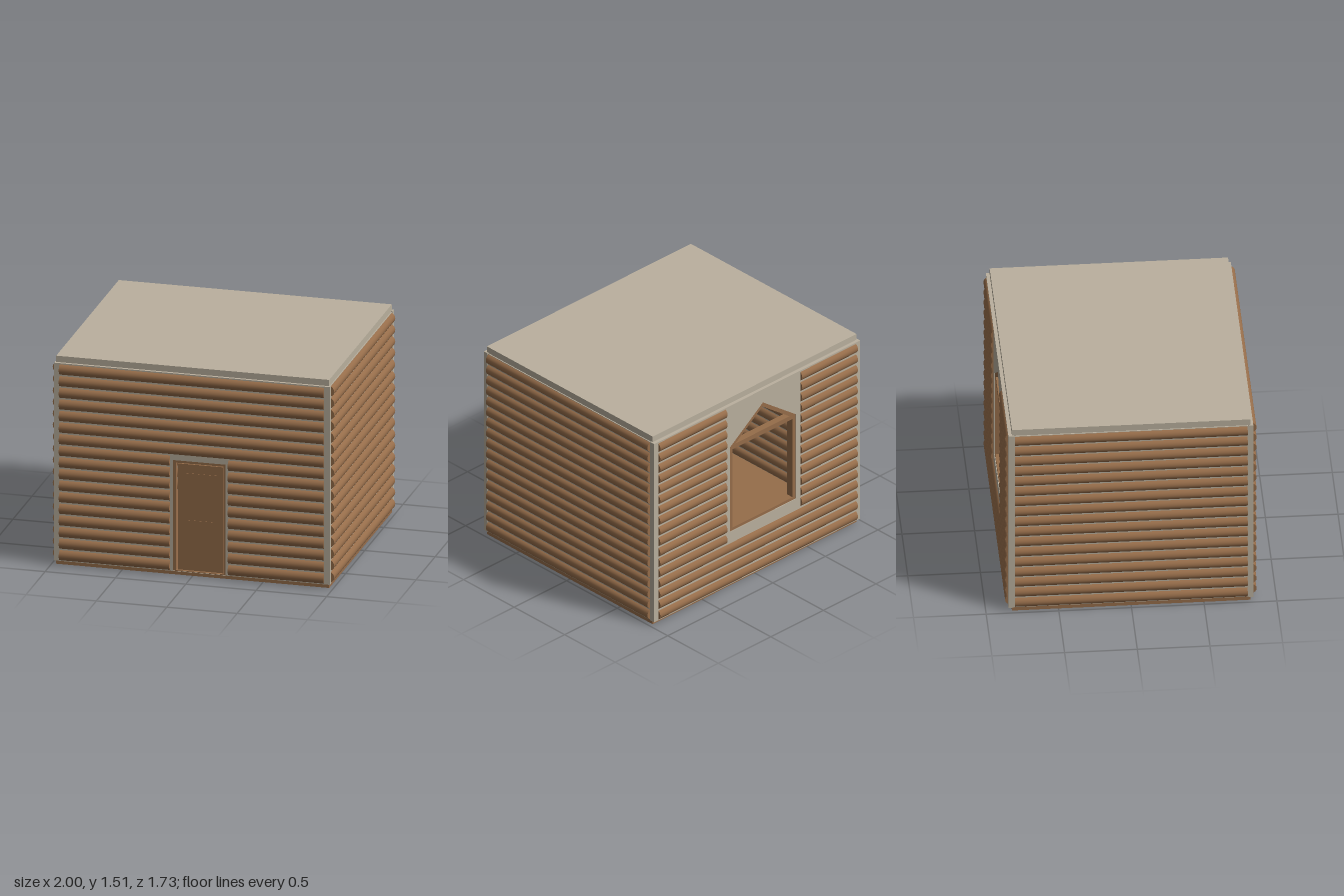
import * as THREE from 'three';

const wood = new THREE.MeshStandardMaterial({ color: 0x966d4a });
wood.name = 'brown wood';
const plaster = new THREE.MeshStandardMaterial({ color: 0xbab09e });
plaster.name = 'pale plaster';
const paper = new THREE.MeshStandardMaterial({ color: 0xd6d2ca });
paper.name = 'pale paper';

function add(parent, name, geo, mat, x = 0, y = 0, z = 0) {
  const m = new THREE.Mesh(geo, mat);
  m.name = name;
  m.position.set(x, y, z);
  parent.add(m);
  return m;
}

// box given by its lower and upper limits on each axis
function block(parent, name, mat, [x0, x1], [y0, y1], [z0, z1]) {
  return add(parent, name, new THREE.BoxGeometry(x1 - x0, y1 - y0, z1 - z0), mat,
    (x0 + x1) / 2, (y0 + y1) / 2, (z0 + z1) / 2);
}

const points = list => list.map(([x, y]) => new THREE.Vector2(x, y));

// flat panel with polygonal openings, extruded from z0 to z1
function panel(parent, name, mat, outline, holes, z0, z1) {
  const shape = new THREE.Shape(points(outline));
  for (const h of holes) shape.holes.push(new THREE.Path(points(h)));
  const geo = new THREE.ExtrudeGeometry(shape, { depth: z1 - z0, bevelEnabled: false });
  return add(parent, name, geo, mat, 0, 0, z0);
}

const rect = (x0, x1, y0, y1) => [[x0, y0], [x1, y0], [x1, y1], [x0, y1]];

// pentagon opening with a pointed top
const gable = (cx, half, y0, eave, peak) =>
  [[cx - half, y0], [cx + half, y0], [cx + half, eave], [cx, peak], [cx - half, eave]];

const ROWS = 17, PITCH = 0.0842, FIRST = 0.072, RADIUS = 0.04;

// log lying along x or z between a and b
function log(parent, axis, a, b, y, offset) {
  const geo = new THREE.CylinderGeometry(RADIUS, RADIUS, b - a, 20);
  const mid = (a + b) / 2;
  if (axis === 'x') {
    geo.rotateZ(Math.PI / 2);
    add(parent, 'log', geo, wood, mid, y, offset);
  } else {
    geo.rotateX(Math.PI / 2);
    add(parent, 'log', geo, wood, offset, y, mid);
  }
}

function group(parent, name) {
  const g = new THREE.Group();
  g.name = name;
  parent.add(g);
  return g;
}

export function createModel() {
  const model = new THREE.Group();
  model.name = 'log cabin';

  // floor and flat roof
  block(model, 'floor', wood, [-0.97, 0.97], [0, 0.03], [-0.82, 0.82]);
  block(model, 'roof', plaster, [-0.97, 0.97], [1.462, 1.51], [-0.82, 0.82]);

  // walls with the door and window openings
  const outline = rect(-0.98, 0.98, 0.03, 1.465);
  const cx = -0.055;
  panel(model, 'frontWall', plaster, outline, [rect(-0.135, 0.24, 0.031, 0.835)], 0.805, 0.84);
  panel(model, 'backWall', plaster, outline, [gable(cx, 0.315, 0.45, 1.13, 1.36)], -0.845, -0.805);
  for (const s of [-1, 1]) {
    const w = block(model, 'sideWall', plaster, [0.945, 0.975], [0.03, 1.46], [-0.806, 0.806]);
    w.position.x *= s;
  }

  // logs, interrupted by the openings
  const logs = group(model, 'logs');
  for (let i = 0; i < ROWS; i++) {
    const y = FIRST + i * PITCH;
    for (const s of [-1, 1]) log(logs, 'z', -0.8, 0.8, y, s * 0.96);
    if (i < 10) {
      log(logs, 'x', -0.94, -0.155, y, 0.825);
      log(logs, 'x', 0.26, 0.94, y, 0.825);
    } else {
      log(logs, 'x', -0.94, 0.94, y, 0.825);
    }
    if (i < 4) {
      log(logs, 'x', -0.94, 0.94, y, -0.825);
    } else {
      log(logs, 'x', -0.94, -0.41, y, -0.825);
      log(logs, 'x', 0.3, 0.94, y, -0.825);
    }
  }

  // door frame and door with two shallow panels
  const door = group(model, 'door');
  panel(door, 'doorFrame', wood, rect(-0.135, 0.24, 0.03, 0.835),
    [rect(-0.115, 0.222, 0.036, 0.817)], 0.79, 0.835);
  block(door, 'doorLeaf', wood, [-0.106, 0.214], [0.036, 0.805], [0.797, 0.815]);
  for (const [y0, y1] of [[0.1, 0.4], [0.45, 0.74]]) {
    block(door, 'doorPanel', wood, [-0.06, 0.168], [y0, y1], [0.795, 0.818]);
  }

  // pointed window frame with a crossbar
  const win = group(model, 'window');
  panel(win, 'windowFrame', wood, gable(cx, 0.315, 0.45, 1.13, 1.36),
    [gable(cx, 0.287, 0.472, 1.115, 1.325)], -0.84, -0.785);
  block(win, 'crossbar', wood, [cx - 0.3, cx + 0.3], [1.1, 1.135], [-0.838, -0.787]);

  // bookcase against the left wall
  const shelf = group(model, 'bookcase');
  const height = 0.74, levels = 4, step = (height - 0.03) / levels;
  for (const z of [-0.5, -0.175, 0.15]) {
    block(shelf, 'upright', wood, [0.78, 0.918], [0.03, height], [z - 0.01, z + 0.01]);
  }
  for (let i = 0; i <= levels; i++) {
    const y = 0.03 + i * step;
    block(shelf, 'shelf', wood, [0.78, 0.918], [y, y + 0.015], [-0.5, 0.15]);
    if (i === levels) break;
    for (let k = 0; k < 18; k++) {
      if ((k * 5 + i * 3) % 7 === 0) continue;
      const z = -0.475 + k * 0.033;
      const h = 0.095 + 0.012 * ((k * 3 + i) % 4);
      block(shelf, 'book', paper, [0.81, 0.91], [y + 0.015, y + 0.015 + h], [z, z + 0.022]);
    }
  }
  return model;
}
